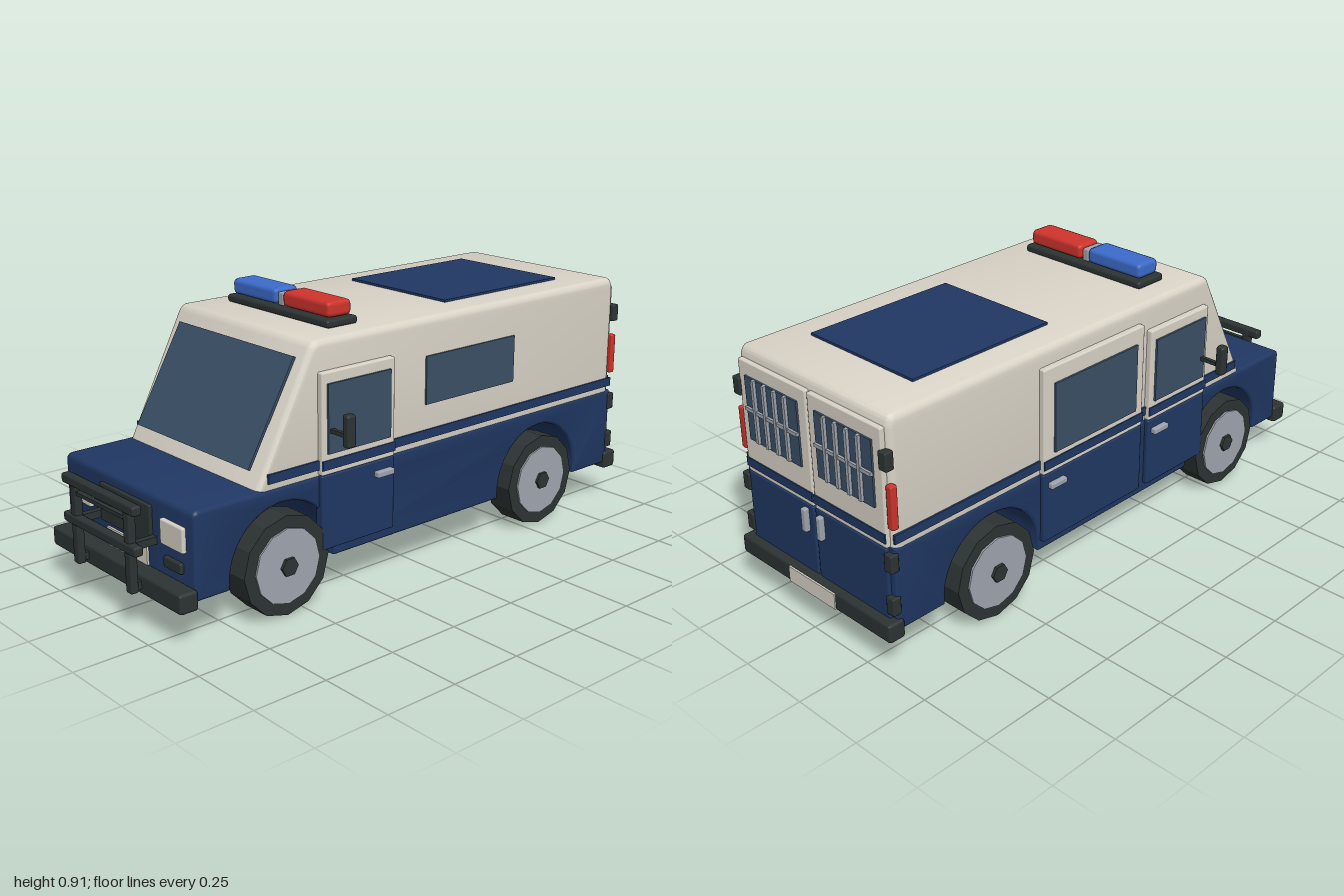
import * as THREE from 'three';
import { toCreasedNormals } from 'three/addons/utils/BufferGeometryUtils.js';
import { RoundedBoxGeometry } from 'three/addons/geometries/RoundedBoxGeometry.js';

const material = (name, color) => {
  const m = new THREE.MeshStandardMaterial({ color });
  m.name = name;
  return m;
};

export function createModel() {
  const white = material('cream white', 0xdad4c8);
  const blue = material('navy blue', 0x203864);
  const black = material('trim black', 0x2c3433);
  const glass = material('window glass', 0x3b5066);
  const red = material('signal red', 0xd0342c);
  const azure = material('signal blue', 0x3c6ccc);
  const silver = material('silver', 0xa0a6b0);
  const van = new THREE.Group();
  van.name = 'van';

  const add = (name, geometry, mat, x = 0, y = 0, z = 0) => {
    const mesh = new THREE.Mesh(geometry, mat);
    mesh.name = name;
    mesh.position.set(x, y, z);
    van.add(mesh);
    return mesh;
  };
  // Box given by its extents along each axis; r rounds the edges
  const box = (name, mat, [x0, x1], [y0, y1], [z0, z1], r = 0) => {
    const s = [x1 - x0, y1 - y0, z1 - z0];
    const g = r ? new RoundedBoxGeometry(...s, 1, r) : new THREE.BoxGeometry(...s);
    return add(name, g, mat, (x0 + x1) / 2, (y0 + y1) / 2, (z0 + z1) / 2);
  };
  // Same box on one side of the van: side is +1 (left) or -1 (right)
  const sideBox = (side, name, mat, [a, b], y, z, r) =>
    box(name, mat, side > 0 ? [a, b] : [-b, -a], y, z, r);
  // Side profile (z, y) extruded across the width with softened edges
  const hull = (name, mat, shape, width, bevel) => {
    let g = new THREE.ExtrudeGeometry(shape, {
      depth: width - 2 * bevel, bevelThickness: bevel, bevelSize: bevel,
      bevelOffset: -bevel, bevelSegments: 3, curveSegments: 14,
    });
    g.translate(0, 0, -(width - 2 * bevel) / 2).rotateY(-Math.PI / 2);
    g = toCreasedNormals(g, 0.6);
    add(name, g, mat);
  };

  // Lower body with wheel arches
  const lower = new THREE.Shape();
  lower.moveTo(-0.955, 0.135);
  for (const z of [-0.57, 0.57]) {
    lower.lineTo(z - 0.2, 0.135);
    lower.absarc(z, 0.16, 0.2, Math.PI, 0, true);
    lower.lineTo(z + 0.2, 0.135);
  }
  lower.lineTo(0.895, 0.135);
  lower.lineTo(0.895, 0.39);
  lower.quadraticCurveTo(0.895, 0.412, 0.87, 0.412);
  lower.lineTo(-0.955, 0.412);
  hull('lowerBody', blue, lower, 0.694, 0.01);

  // Upper body with sloping windscreen
  const upper = new THREE.Shape();
  upper.moveTo(-0.95, 0.37);
  upper.lineTo(0.68, 0.37);
  upper.lineTo(0.458, 0.805);
  upper.quadraticCurveTo(0.445, 0.83, 0.42, 0.83);
  upper.lineTo(-0.92, 0.83);
  upper.quadraticCurveTo(-0.945, 0.83, -0.95, 0.79);
  hull('upperBody', white, upper, 0.686, 0.022);

  // Windscreen
  const dz = 0.655 - 0.477, dy = 0.78 - 0.466;
  const screen = add('windscreen', new THREE.BoxGeometry(0.586, Math.hypot(dz, dy), 0.009),
    glass, 0, 0.623, 0.566);
  screen.rotation.x = -Math.atan2(dz, dy);

  // Roof panel and light bar
  box('roofPanel', blue, [-0.23, 0.23], [0.829, 0.838], [-0.76, -0.21]);
  box('lightBarBase', black, [-0.256, 0.256], [0.829, 0.856], [0.193, 0.316], 0.01);
  box('blueBeacon', azure, [-0.244, -0.015], [0.856, 0.909], [0.207, 0.302], 0.016);
  box('redBeacon', red, [0.015, 0.244], [0.856, 0.909], [0.207, 0.302], 0.016);
  box('beaconSpeaker', silver, [-0.013, 0.013], [0.856, 0.899], [0.215, 0.295], 0.005);

  // Two-tone door with window and stripe on one side
  const sideDoor = (side, name, z, top, winY, winZ) => {
    sideBox(side, name + 'Upper', white, [0.33, 0.363], [0.412, top], z, 0.006);
    sideBox(side, name + 'Lower', blue, [0.33, 0.363], [0.17, 0.412], z, 0.006);
    sideBox(side, name + 'Window', glass, [0.362, 0.37], winY, winZ);
    sideBox(side, name + 'Stripe', blue, [0.362, 0.367], [0.43, 0.46], z);
  };
  sideDoor(-1, 'slidingDoor', [-0.365, 0.1], 0.77, [0.48, 0.715], [-0.32, 0.06]);
  sideBox(-1, 'slidingDoorHandle', silver, [0.36, 0.38], [0.36, 0.38], [-0.345, -0.275], 0.004);
  box('sideWindow', glass, [0.34, 0.349], [0.545, 0.705], [-0.425, -0.015]);

  for (const s of [1, -1]) {
    sideBox(s, 'sideStripe', blue, [0.341, 0.349], [0.43, 0.46], [-0.952, 0.625]);
    sideDoor(s, 'frontDoor', [0.135, 0.432], 0.735, [0.48, 0.7], [0.157, 0.412]);
    sideBox(s, 'frontDoorHandle', silver, [0.36, 0.382], [0.36, 0.38], [0.15, 0.22], 0.004);

    // Wing mirrors
    sideBox(s, 'mirrorArm', black, [0.36, 0.44], [0.547, 0.56], [0.392, 0.406]);
    sideBox(s, 'mirror', black, [0.434, 0.466], [0.52, 0.625], [0.384, 0.418], 0.01);

    // Wheels
    for (const z of [0.57, -0.57]) {
      const disc = (name, mat, r, sides, x0, x1) => {
        const g = toCreasedNormals(
          new THREE.CylinderGeometry(r, r, x1 - x0, sides).rotateZ(Math.PI / 2), 0.3);
        add(name, g, mat, s * (x0 + x1) / 2, 0.162, z);
      };
      disc('tyre', black, 0.162, 12, 0.262, 0.361);
      disc('wheelRim', silver, 0.122, 12, 0.35, 0.367);
      disc('wheelHub', black, 0.031, 6, 0.36, 0.377);
    }

    // Front lamps
    sideBox(s, 'headlight', white, [0.19, 0.307], [0.274, 0.354], [0.885, 0.908], 0.006);
    sideBox(s, 'fogLamp', black, [0.203, 0.292], [0.205, 0.24], [0.885, 0.908], 0.006);

    // Bull bar uprights and mounts
    sideBox(s, 'bullBarUpright', black, [0.131, 0.163], [0.125, 0.405], [0.967, 0.994], 0.006);
    for (const y of [0.145, 0.27])
      sideBox(s, 'bullBarMount', black, [0.136, 0.158], [y - 0.012, y + 0.012], [0.89, 0.975]);

    // Rear doors
    sideBox(s, 'rearDoorUpper', white, [0.004, 0.325], [0.412, 0.795], [-0.965, -0.94], 0.005);
    sideBox(s, 'rearDoorLower', blue, [0.004, 0.325], [0.17, 0.412], [-0.967, -0.94], 0.005);
    sideBox(s, 'rearStripe', blue, [0.004, 0.325], [0.43, 0.46], [-0.969, -0.964]);
    sideBox(s, 'rearWindow', glass, [0.04, 0.29], [0.535, 0.75], [-0.971, -0.964]);
    for (let i = 0; i < 4; i++) {
      const x = 0.09 + i * 0.05;
      sideBox(s, 'rearWindowBar', silver, [x - 0.006, x + 0.006], [0.54, 0.75], [-0.981, -0.969]);
    }
    sideBox(s, 'rearWindowRail', silver, [0.04, 0.29], [0.638, 0.65], [-0.979, -0.969]);
    sideBox(s, 'rearDoorHandle', silver, [0.025, 0.047], [0.32, 0.4], [-0.985, -0.964], 0.005);
    for (const y of [0.7, 0.37, 0.225])
      sideBox(s, 'rearHinge', black, [0.318, 0.352], [y - 0.03, y + 0.03], [-0.973, -0.942], 0.005);
    sideBox(s, 'tailLight', red, [0.33, 0.355], [0.48, 0.622], [-0.962, -0.938], 0.005);
  }

  // Front grille, plate, bumper and bull bar
  box('grille', black, [-0.137, 0.137], [0.25, 0.375], [0.885, 0.906], 0.005);
  box('frontPlate', white, [-0.11, 0.11], [0.17, 0.236], [0.89, 0.902]);
  box('frontBumper', black, [-0.356, 0.356], [0.113, 0.177], [0.89, 0.955], 0.01);
  for (const y of [0.395, 0.27])
    box('bullBarRail', black, [-0.2, 0.2], [y - 0.016, y + 0.016], [0.968, 1], 0.008);
  box('bullBarMiddleRail', black, [-0.14, 0.14], [0.352, 0.364], [0.975, 0.99]);

  // Rear bumper and plate
  box('rearBumper', black, [-0.356, 0.356], [0.113, 0.177], [-0.996, -0.935], 0.01);
  box('rearPlate', white, [-0.11, 0.11], [0.118, 0.172], [-1, -0.99]);
  return van;
}
